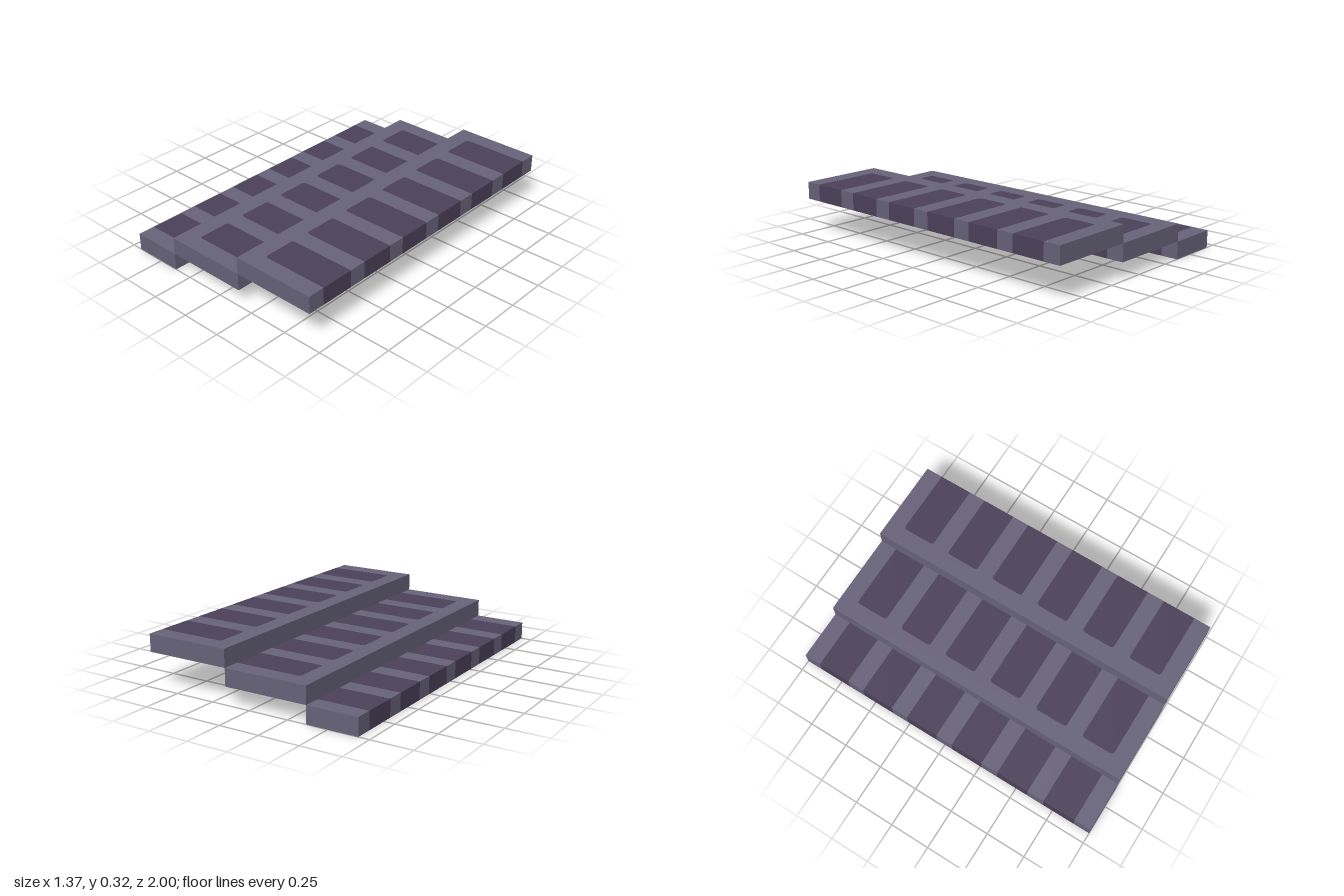
import * as THREE from 'three';

const HEIGHT = 0.106;   // thickness of one step
const RADIUS = 0.02;    // corner radius of the inlays
const PITCH = 0.316;    // spacing of the inlays along z
const HALF = 0.104;     // half width of an inlay
const CENTRES = [-2.5, -1.5, -0.5, 0.5, 1.5, 2.5].map((i) => i * PITCH);

// Traces an inlay outline, open at the step's right edge
function traceInlay(path, inner, edge, centre) {
  const a = centre - HALF, b = centre + HALF;
  path.lineTo(inner + RADIUS, a);
  path.quadraticCurveTo(inner, a, inner, a + RADIUS);
  path.lineTo(inner, b - RADIUS);
  path.quadraticCurveTo(inner, b, inner + RADIUS, b);
  path.lineTo(edge, b);
}

function slab(shape, y, material, name) {
  const geometry = new THREE.ExtrudeGeometry(shape, { depth: HEIGHT, bevelEnabled: false, curveSegments: 4 });
  geometry.rotateX(-Math.PI / 2);
  const mesh = new THREE.Mesh(geometry, material);
  mesh.position.y = y;
  mesh.name = name;
  return mesh;
}

// Step with flush inlays that run from a rounded inner end to the right edge
function notchedStep(x0, x1, inner, y, stone, dark) {
  const group = new THREE.Group();
  const body = new THREE.Shape();
  body.moveTo(x0, -1);
  body.lineTo(x1, -1);
  for (const c of CENTRES) {
    body.lineTo(x1, c - HALF);
    traceInlay(body, inner, x1, c);
    const inlay = new THREE.Shape();
    inlay.moveTo(x1, c - HALF);
    traceInlay(inlay, inner, x1, c);
    group.add(slab(inlay, y, dark, 'inlay'));
  }
  body.lineTo(x1, 1);
  body.lineTo(x0, 1);
  body.closePath();
  group.add(slab(body, y, stone, 'stepBody'));
  return group;
}

// Half-width step banded across its whole width
function bandedStep(x0, x1, stone, dark) {
  const group = new THREE.Group();
  const cuts = [-1, ...CENTRES.flatMap((c) => [c - HALF, c + HALF]), 1];
  for (let i = 0; i < cuts.length - 1; i++) {
    const length = cuts[i + 1] - cuts[i];
    const band = new THREE.Mesh(new THREE.BoxGeometry(x1 - x0, HEIGHT, length), i % 2 ? dark : stone);
    band.position.set((x0 + x1) / 2, HEIGHT / 2, cuts[i] + length / 2);
    band.name = i % 2 ? 'inlay' : 'stepBody';
    group.add(band);
  }
  return group;
}

export function createModel() {
  const stone = new THREE.MeshStandardMaterial({ color: 0x68637b });
  stone.name = 'greyPurpleStone';
  const dark = new THREE.MeshStandardMaterial({ color: 0x4c415a });
  dark.name = 'darkPurpleInlay';

  const model = new THREE.Group();
  model.name = 'steps';
  const lower = bandedStep(-0.684, -0.369, stone, dark);
  lower.name = 'lowerStep';
  const middle = notchedStep(-0.369, 0.157, -0.262, HEIGHT, stone, dark);
  middle.name = 'middleStep';
  const upper = notchedStep(0.157, 0.684, 0.264, HEIGHT * 2, stone, dark);
  upper.name = 'upperStep';
  model.add(lower, middle, upper);
  return model;
}
